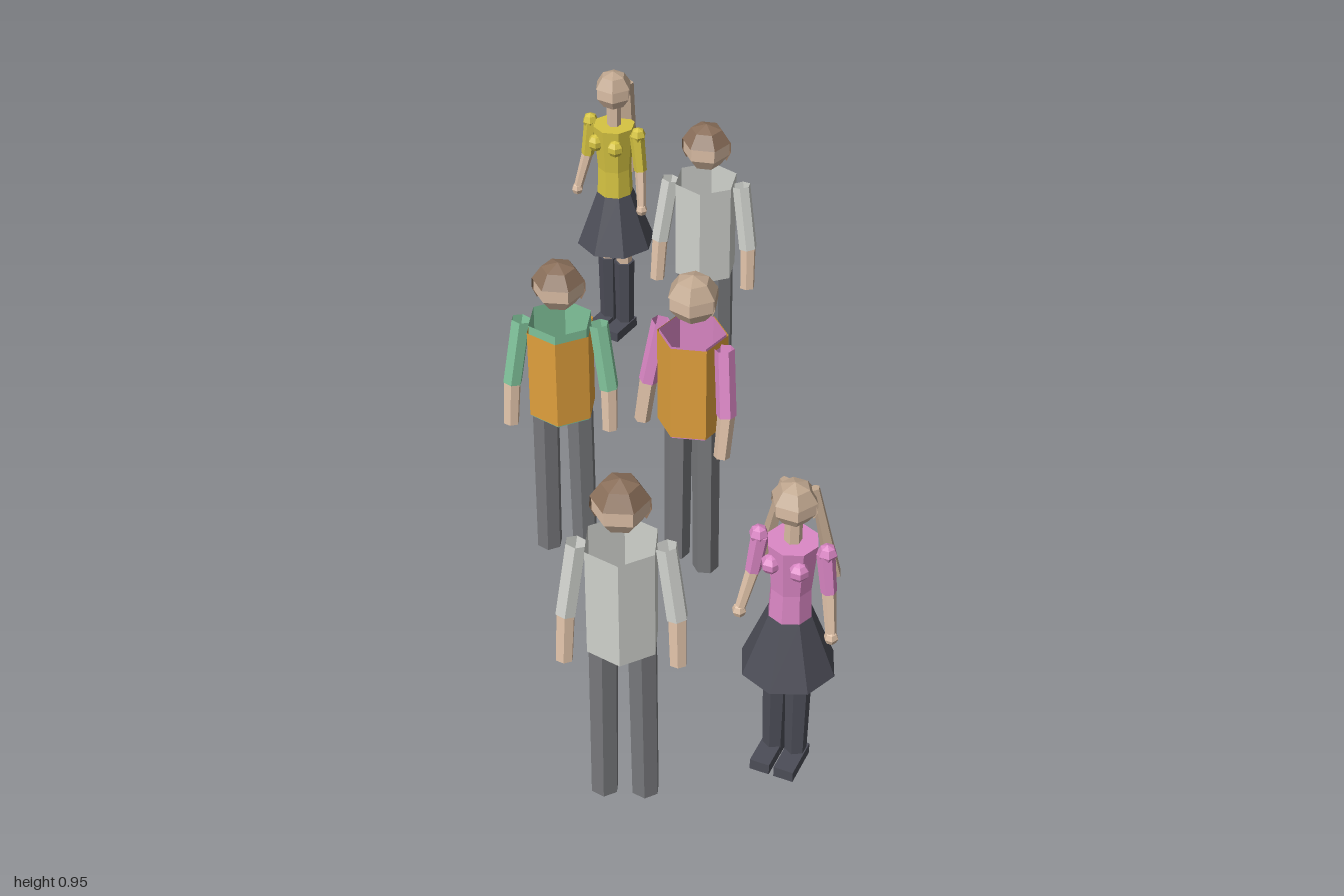
import * as THREE from 'three';

const mat = (name, color) => {
  const m = new THREE.MeshStandardMaterial({ color, flatShading: true, side: THREE.DoubleSide });
  m.name = name;
  return m;
};

export function createModel() {
  const M = {
    greyShirt: mat('grey shirt', 0xcfd1cc),
    trousers: mat('grey trousers', 0x77787b),
    orange: mat('orange vest', 0xe0a03c),
    pink: mat('pink cloth', 0xdc88c6),
    yellow: mat('yellow cloth', 0xd6c442),
    green: mat('green cloth', 0x80c29a),
    dark: mat('dark cloth', 0x4c4d57),
    skin: mat('skin', 0xdabda4),
    brownHair: mat('brown hair', 0x8a6f5a),
    fairHair: mat('fair hair', 0xc0a78f),
  };
  const up = new THREE.Vector3(0, 1, 0);
  const model = new THREE.Group();
  model.name = 'groupOfPeople';

  const add = (parent, name, geo, material, x = 0, y = 0, z = 0) => {
    const mesh = new THREE.Mesh(geo, material);
    mesh.name = name;
    mesh.position.set(x, y, z);
    parent.add(mesh);
    return mesh;
  };

  // Tapered prism from point a to point b
  const limb = (parent, name, material, a, b, ra, rb, sides = 6, open = false) => {
    const A = new THREE.Vector3(...a), B = new THREE.Vector3(...b);
    const dir = B.clone().sub(A);
    const mesh = add(parent, name, new THREE.CylinderGeometry(rb, ra, dir.length(), sides, 1, open), material);
    mesh.position.copy(A).add(B).multiplyScalar(0.5);
    mesh.quaternion.setFromUnitVectors(up, dir.normalize());
    return mesh;
  };

  // Faceted head with a hair cap and hair down the back
  const addHead = (parent, y, r, hair) => {
    const head = new THREE.Group();
    head.name = 'head';
    head.position.y = y;
    parent.add(head);
    const P = Math.PI;
    add(head, 'face', new THREE.SphereGeometry(r * 0.96, 6, 5), M.skin);
    add(head, 'hairCap', new THREE.SphereGeometry(r, 6, 2, 0, P * 2, 0, P * 0.42), hair);
    // phi 0 to PI is the +z half, PI to 2 PI the back half
    add(head, 'backHair', new THREE.SphereGeometry(r, 3, 2, P, P, P * 0.42, P * 0.28), hair);
  };

  // Man: open shirt tube, loose sleeves, straight trousers, optional vest
  const addMan = ({ name, x, z, turn, scale, shirt, hair, vestTop }) => {
    const man = new THREE.Group();
    man.name = name;
    man.position.set(x, 0, z);
    man.rotation.y = turn;
    man.scale.set(1, scale, 1);
    model.add(man);

    const torsoR = vestTop ? 0.086 : 0.09;
    limb(man, 'shirt', shirt, [0, 0.48, 0], [0, 0.775, 0], torsoR, torsoR, 6, true);
    if (vestTop) limb(man, 'vest', M.orange, [0, 0.486, 0], [0, vestTop, 0], 0.091, 0.091, 6, true);
    addHead(man, 0.88, 0.07, hair);

    for (const s of [-1, 1]) {
      const side = s > 0 ? 'left' : 'right';
      limb(man, side + 'Leg', M.trousers, [s * 0.049, 0, 0], [s * 0.045, 0.5, 0], 0.035, 0.037, 6, true);
      limb(man, side + 'Sleeve', shirt, [s * 0.126, 0.575, 0.022], [s * 0.1, 0.765, 0], 0.026, 0.026, 6, true);
      limb(man, side + 'Forearm', M.skin, [s * 0.13, 0.455, 0.045], [s * 0.126, 0.58, 0.022], 0.021, 0.023, 6);
    }
  };

  // Girl: fitted top, flared skirt, tall boots
  const addGirl = ({ name, x, z, turn, scale, top, pigtails }) => {
    const girl = new THREE.Group();
    girl.name = name;
    girl.position.set(x, 0, z);
    girl.rotation.y = turn;
    girl.scale.set(1, scale, 1);
    model.add(girl);

    limb(girl, 'neck', M.skin, [0, 0.67, 0], [0, 0.75, 0], 0.021, 0.021);
    limb(girl, 'chest', top, [0, 0.545, 0], [0, 0.68, 0], 0.05, 0.062, 8);
    limb(girl, 'waist', top, [0, 0.46, 0], [0, 0.55, 0], 0.054, 0.05, 8);
    limb(girl, 'skirt', M.dark, [0, 0.3, 0], [0, 0.466, 0], 0.118, 0.055, 8, true);
    addHead(girl, 0.788, 0.058, M.fairHair);

    for (const s of [-1, 1]) {
      const side = s > 0 ? 'left' : 'right';
      add(girl, side + 'Bust', new THREE.SphereGeometry(0.025, 6, 5), top, s * 0.034, 0.632, 0.046);
      add(girl, side + 'Shoulder', new THREE.SphereGeometry(0.024, 6, 4), top, s * 0.084, 0.668, 0);
      limb(girl, side + 'Sleeve', top, [s * 0.094, 0.56, 0.004], [s * 0.08, 0.668, 0], 0.019, 0.022);
      limb(girl, side + 'Forearm', M.skin, [s * 0.114, 0.455, 0.03], [s * 0.094, 0.562, 0.004], 0.013, 0.017);
      add(girl, side + 'Hand', new THREE.SphereGeometry(0.018, 6, 4), M.skin, s * 0.115, 0.45, 0.032);
      limb(girl, side + 'Thigh', M.skin, [s * 0.029, 0.22, 0], [s * 0.029, 0.45, 0], 0.024, 0.028);
      limb(girl, side + 'Boot', M.dark, [s * 0.029, 0, 0], [s * 0.029, 0.235, 0], 0.027, 0.031);
      add(girl, side + 'Foot', new THREE.BoxGeometry(0.05, 0.03, 0.11), M.dark, s * 0.031, 0.015, 0.03);
      if (pigtails) {
        limb(girl, side + 'Pigtail', M.fairHair, [s * 0.088, 0.575, -0.042], [s * 0.036, 0.82, -0.03], 0.019, 0.012, 5);
      }
    }
    // Long ponytail hanging behind the back
    if (!pigtails) {
      const tail = limb(girl, 'ponytail', M.fairHair, [0, 0.508, -0.066], [0, 0.79, -0.058], 0.036, 0.03, 6);
      tail.scale.z = 0.65;
    }
  };

  addMan({ name: 'frontMan', x: 0.305, z: 0.88, turn: 0.38, scale: 1, shirt: M.greyShirt, hair: M.brownHair });
  addMan({ name: 'backMan', x: -0.183, z: -0.63, turn: 0.25, scale: 0.987, shirt: M.greyShirt, hair: M.brownHair });
  addMan({ name: 'greenShirtMan', x: -0.243, z: 0.13, turn: 0.34, scale: 0.963,
    shirt: M.green, hair: M.brownHair, vestTop: 0.753 });
  addMan({ name: 'pinkShirtMan', x: 0.09, z: 0.043, turn: -0.22, scale: 0.967,
    shirt: M.pink, hair: M.fairHair, vestTop: 0.772 });
  addGirl({ name: 'yellowTopGirl', x: -0.596, z: -0.882, turn: -0.12, scale: 1.045, top: M.yellow, pigtails: false });
  addGirl({ name: 'pinkTopGirl', x: 0.605, z: 0.608, turn: 0.02, scale: 1, top: M.pink, pigtails: true });

  return model;
}
